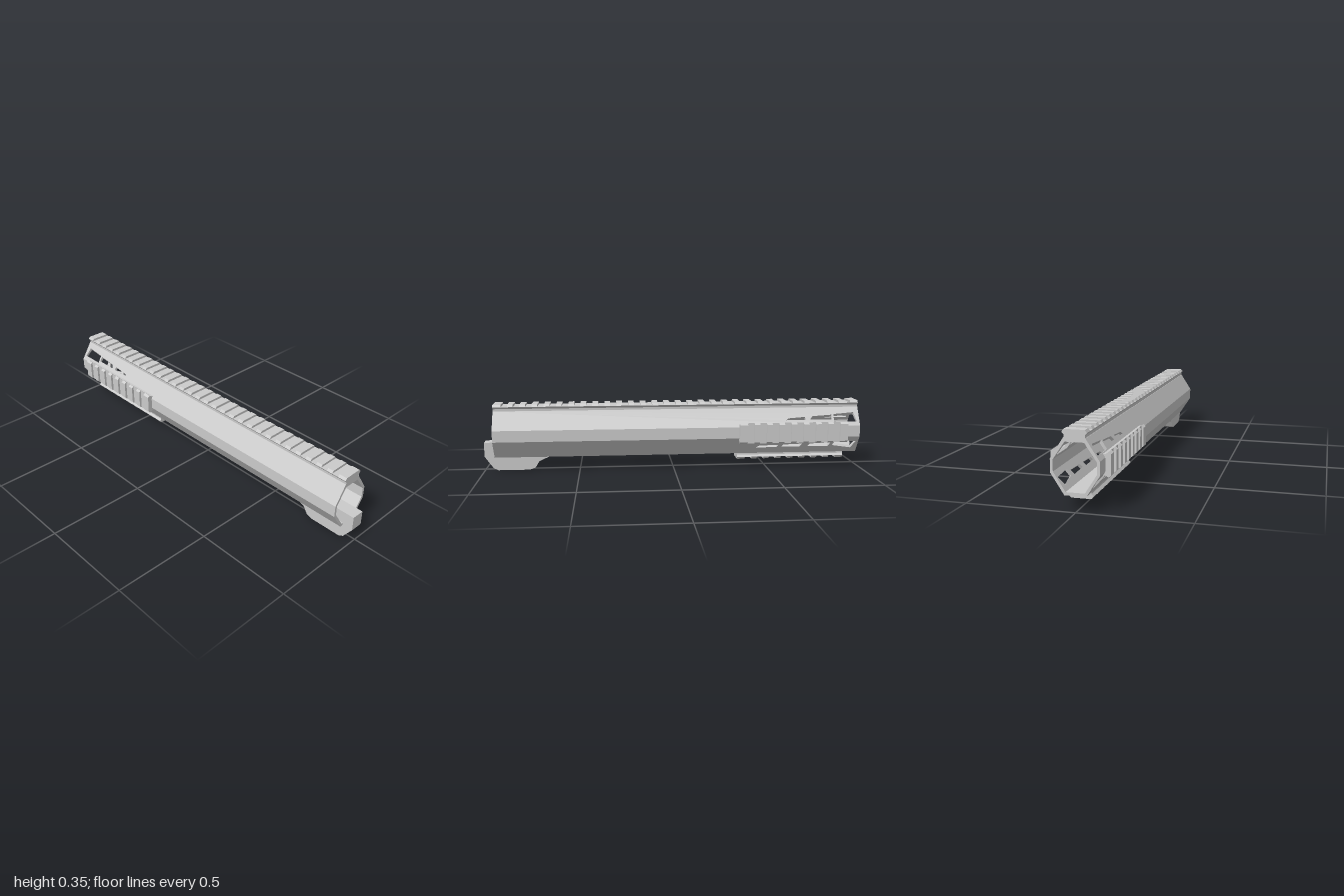
import * as THREE from 'three';

const material = new THREE.MeshStandardMaterial({ color: 0xcccccc, flatShading: true });
const BACK = -1, FRONT = 0.945;

// Octagon corners of the tube wall, counter-clockwise seen from the front
const OUTER = [[0.108, 0.165], [0.108, 0.225], [0.048, 0.318], [-0.048, 0.318],
  [-0.108, 0.225], [-0.108, 0.165], [-0.048, 0.072], [0.048, 0.072]];
const INNER = [[0.096, 0.17], [0.096, 0.221], [0.042, 0.3], [-0.042, 0.3],
  [-0.096, 0.221], [-0.096, 0.17], [-0.042, 0.086], [0.042, 0.086]];

// Cut-outs in the slanted walls, as [z, y]
const UPPER_HOLES = [
  [[-0.86, 0.245], [-0.985, 0.245], [-0.972, 0.291], [-0.862, 0.283]],
  [[-0.73, 0.257], [-0.85, 0.257], [-0.85, 0.28], [-0.745, 0.274]],
  [[-0.6, 0.256], [-0.705, 0.256], [-0.705, 0.271], [-0.615, 0.265]],
];
const LOWER_HOLES = [
  [[-0.86, 0.113], [-0.965, 0.096], [-0.987, 0.137], [-0.87, 0.142]],
  [[-0.725, 0.109], [-0.835, 0.106], [-0.848, 0.13], [-0.735, 0.126]],
  [[-0.58, 0.108], [-0.68, 0.106], [-0.692, 0.126], [-0.59, 0.122]],
  [[-0.44, 0.106], [-0.555, 0.107], [-0.565, 0.121], [-0.46, 0.118]],
];

const toShape = pts => new THREE.Shape(pts.map(p => new THREE.Vector2(...p)));

function addMesh(parent, geometry, name) {
  geometry.computeVertexNormals();
  const mesh = new THREE.Mesh(geometry, material);
  mesh.name = name;
  parent.add(mesh);
  return mesh;
}

// One wall of the octagon: a flat sheet (z, v, depth) mapped between two corners
function wallPanel(i, holes) {
  const j = (i + 1) % 8;
  const shape = toShape([[BACK, 0], [FRONT, 0], [FRONT, 1], [BACK, 1]]);
  const [ya, yb] = [OUTER[i][1], OUTER[j][1]];
  for (const hole of holes) {
    shape.holes.push(new THREE.Path(hole.map(([z, y]) => new THREE.Vector2(z, (y - ya) / (yb - ya)))));
  }
  const geometry = new THREE.ExtrudeGeometry(shape, { depth: 1, bevelEnabled: false });
  const pos = geometry.attributes.position;
  const lerp = THREE.MathUtils.lerp;
  for (let k = 0; k < pos.count; k++) {
    const z = pos.getX(k), v = pos.getY(k), w = pos.getZ(k);
    const [x, y] = [0, 1].map(c =>
      lerp(lerp(OUTER[i][c], OUTER[j][c], v), lerp(INNER[i][c], INNER[j][c], v), w));
    pos.setXYZ(k, x, y, z);
  }
  return geometry;
}

// Extrude an x-y profile from z0 to z1
function bar(profile, z0, z1) {
  return new THREE.ExtrudeGeometry(toShape(profile), { depth: z1 - z0, bevelEnabled: false })
    .translate(0, 0, z0);
}

// Accessory rail: undercut base with evenly spaced cross teeth
function rail(name, z0, z1) {
  const group = new THREE.Group();
  group.name = name;
  const base = [[-0.046, 0], [0.046, 0], [0.046, 0.012], [0.055, 0.023], [-0.055, 0.023], [-0.046, 0.012]];
  const tooth = [[-0.055, 0.023], [0.055, 0.023], [0.046, 0.035], [-0.046, 0.035]];
  addMesh(group, bar(base, z0, z1), 'railBase');
  const end = 0.042, width = 0.03;
  const grooves = Math.round((z1 - z0 - 2 * end + width) / 0.064);
  const pitch = (z1 - z0 - 2 * end + width) / grooves;
  for (let i = 0; i <= grooves; i++) {
    const start = i === 0 ? z0 : z0 + end - width + i * pitch;
    const stop = i === grooves ? z1 : z0 + end + i * pitch;
    addMesh(group, bar(tooth, start, stop), 'railTooth');
  }
  return group;
}

export function createModel() {
  const model = new THREE.Group();
  model.name = 'handguard';

  // Octagonal tube with cut-outs in the slanted walls
  const tube = new THREE.Group();
  tube.name = 'tube';
  const holes = { 1: UPPER_HOLES, 3: UPPER_HOLES, 5: LOWER_HOLES, 7: LOWER_HOLES };
  for (let i = 0; i < 8; i++) addMesh(tube, wallPanel(i, holes[i] ?? []), 'tubeWall');
  model.add(tube);

  // Full-length top rail, short rails on the sides and underneath
  const rails = [
    ['topRail', BACK, FRONT, 0, 0.318, 0],
    ['leftRail', -0.927, -0.345, 0.098, 0.194, -Math.PI / 2],
    ['rightRail', -0.927, -0.345, -0.098, 0.194, Math.PI / 2],
    ['bottomRail', -0.927, -0.345, 0, 0.075, Math.PI],
  ];
  for (const [name, z0, z1, x, y, angle] of rails) {
    const r = rail(name, z0, z1);
    r.position.set(x, y, 0);
    r.rotation.z = angle;
    model.add(r);
  }

  // Front lug, drawn in z-y and turned to run across x
  const lug = [[1, 0.15], [0.65, 0.15], [0.65, 0.075], [0.715, 0.045], [0.735, 0.012],
    [0.765, 0], [0.93, 0], [0.955, 0.012], [1, 0.075]].map(([z, y]) => [-z, y]);
  const lugGeometry = new THREE.ExtrudeGeometry(toShape(lug), { depth: 0.066, bevelEnabled: false })
    .translate(0, 0, -0.033).rotateY(Math.PI / 2);
  addMesh(model, lugGeometry, 'frontLug');

  return model;
}
